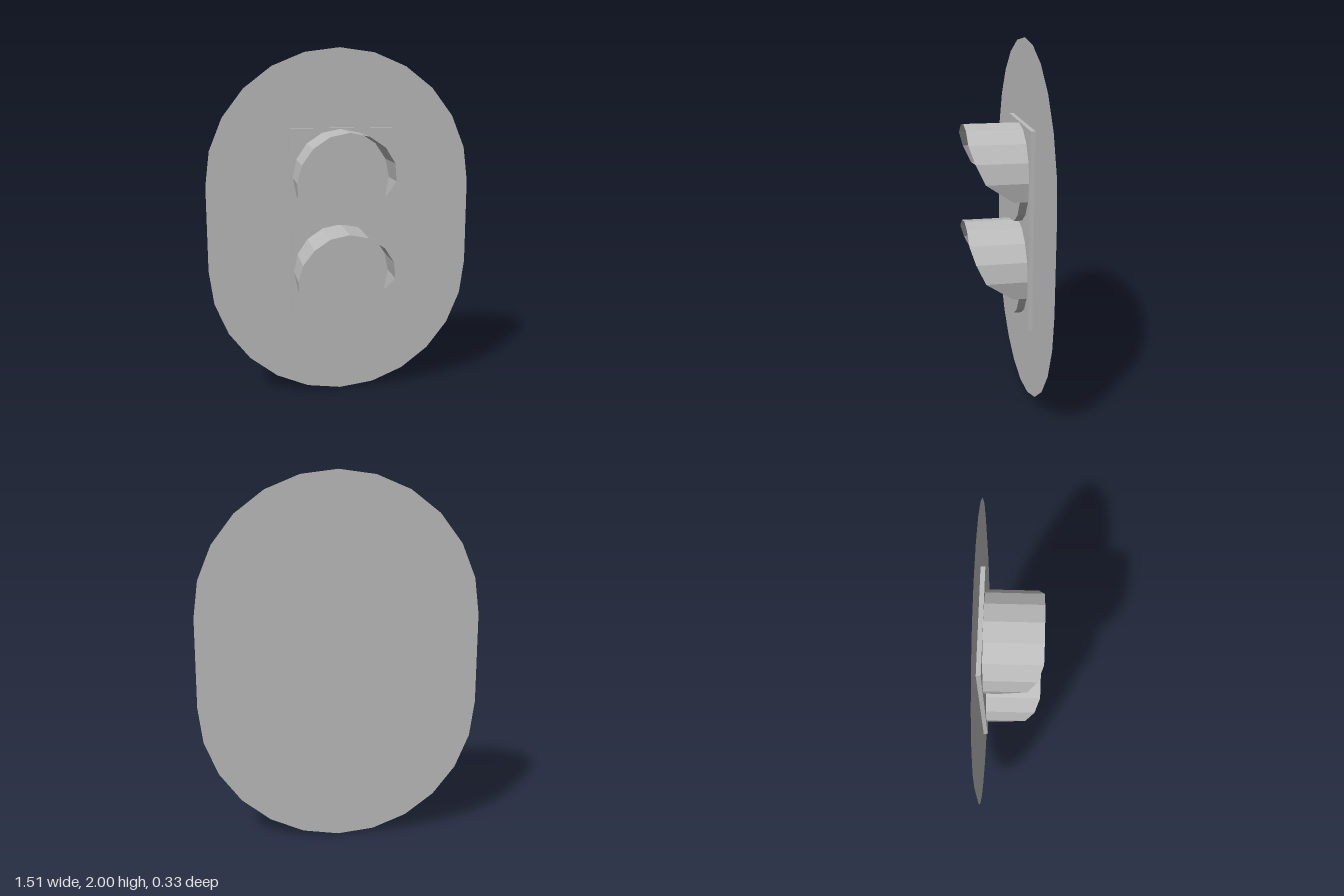
import * as THREE from 'three';

export function createModel() {
  const model = new THREE.Group();
  const grey = new THREE.MeshStandardMaterial({ color: 0xbcbcbc, side: THREE.DoubleSide, flatShading: true });
  grey.name = 'grey';

  const add = (name, geometry, x, y, z, parent = model) => {
    const mesh = new THREE.Mesh(geometry, grey);
    mesh.name = name;
    mesh.position.set(x, y, z);
    parent.add(mesh);
    return mesh;
  };

  // Thin backboard: two half circles joined by straight sides
  const R = 0.757, half = 0.243, outline = [];
  for (let end = 0; end < 2; end++) {
    for (let i = 0; i <= 12; i++) {
      const a = Math.PI * (end + i / 12);
      outline.push(new THREE.Vector2(R * Math.cos(a), R * Math.sin(a) + (end ? -half : half)));
    }
  }
  add('backboard', new THREE.ShapeGeometry(new THREE.Shape(outline)), 0, 1, -0.165);

  // Rectangular housing, a little off centre
  add('housing', new THREE.BoxGeometry(0.58, 1.1, 0.024), 0.005, 1.01, -0.152);

  // Visor: open sheet around the top of a lamp, its front edge cut back towards the sides
  const r = 0.272, back = -0.14;
  const frontEdge = [-0.065, 0.085, 0.135, 0.163, 0.163, 0.163, 0.163, 0.163, 0.135, 0.085, -0.065];
  const points = [], index = [];
  frontEdge.forEach((z, i) => {
    const a = (i - 1) * Math.PI / 8;
    const x = r * Math.cos(a), y = r * Math.sin(a);
    points.push(x, y, back, x, y, z);
    if (i) {
      const k = 2 * i;
      index.push(k - 2, k, k - 1, k - 1, k, k + 1);
    }
  });
  const visorGeometry = new THREE.BufferGeometry();
  visorGeometry.setAttribute('position', new THREE.Float32BufferAttribute(points, 3));
  // Reverse the winding so the outside is the front
  visorGeometry.setIndex(index.reverse());
  visorGeometry.computeVertexNormals();

  // Sixteen-sided lens, slightly inside the visor
  const lensGeometry = new THREE.CylinderGeometry(r - 0.001, r - 0.001, 0.043, 16).rotateX(Math.PI / 2);

  [['upper', 1.283], ['lower', 0.738]].forEach(([place, y]) => {
    const lamp = new THREE.Group();
    lamp.name = place + 'Lamp';
    lamp.position.y = y;
    add(place + 'Lens', lensGeometry, 0, 0, -0.1185, lamp);
    add(place + 'Visor', visorGeometry, 0, 0, 0, lamp);
    model.add(lamp);
  });

  return model;
}
